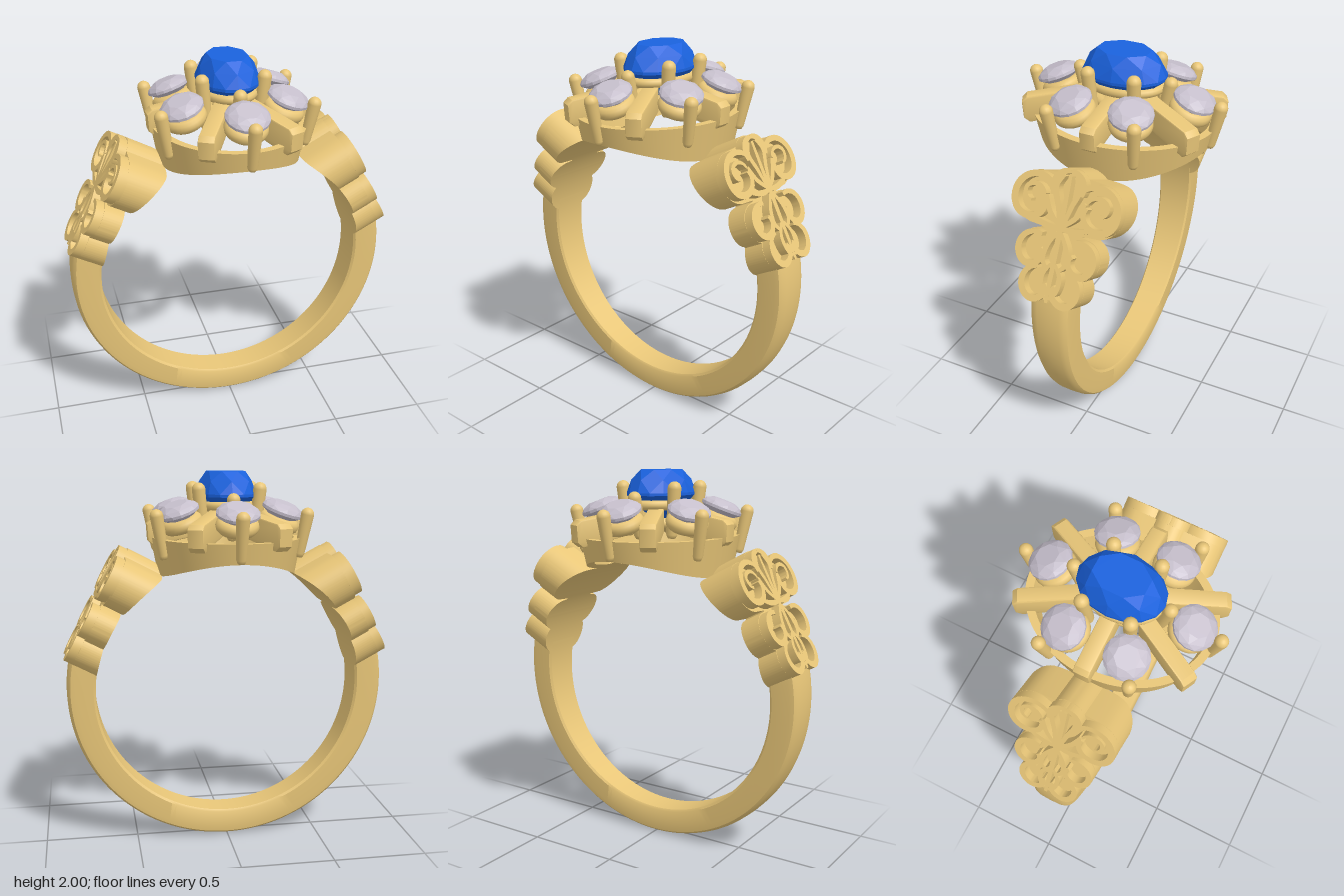
import * as THREE from 'three';
import { toCreasedNormals } from 'three/addons/utils/BufferGeometryUtils.js';
import { ConvexGeometry } from 'three/addons/geometries/ConvexGeometry.js';

const CY = 0.855, INNER = 0.708; // finger hole centre height and radius
const gold = new THREE.MeshStandardMaterial({ color: 0xe8c678 });
const blue = new THREE.MeshStandardMaterial({ color: 0x1a62de, flatShading: true });
const pale = new THREE.MeshStandardMaterial({ color: 0xc6bfcc, flatShading: true });
const V = (x, y, z) => new THREE.Vector3(x, y, z);

function add(parent, name, geometry, material = gold) {
  const m = new THREE.Mesh(geometry, material);
  m.name = name;
  parent.add(m);
  return m;
}

// Skin a list of equal-length point loops; ends are capped unless closed
function loft(rows, closed = false) {
  const n = rows[0].length, pos = [], idx = [];
  rows.forEach(r => r.forEach(p => pos.push(p.x, p.y, p.z)));
  const last = rows.length - 1;
  for (let i = 0; i < (closed ? rows.length : last); i++) {
    const k = (i + 1) % rows.length;
    for (let j = 0; j < n; j++) {
      const a = i * n + j, b = i * n + (j + 1) % n;
      const c = k * n + (j + 1) % n, d = k * n + j;
      idx.push(a, b, c, a, c, d);
    }
  }
  if (!closed) for (let j = 1; j < n - 1; j++) {
    idx.push(0, j + 1, j, last * n, last * n + j, last * n + j + 1);
  }
  const g = new THREE.BufferGeometry();
  g.setAttribute('position', new THREE.Float32BufferAttribute(pos, 3));
  g.setIndex(idx);
  return toCreasedNormals(g, 0.6);
}

// Tapering rod with a rounded tip
function prong(parent, name, from, to, r0, r1) {
  const len = from.distanceTo(to);
  const profile = [[0, 0], [r0 * 0.7, 0], [r0, 0.02]].map(p => new THREE.Vector2(...p));
  for (let i = 0; i <= 6; i++) {
    const a = i / 6 * Math.PI / 2;
    profile.push(new THREE.Vector2(r1 * Math.cos(a), len - r1 + r1 * Math.sin(a)));
  }
  const m = add(parent, name, new THREE.LatheGeometry(profile, 16));
  m.position.copy(from);
  m.quaternion.setFromUnitVectors(V(0, 1, 0), to.clone().sub(from).normalize());
}

// Faceted stone; girdle plane at y = 0
function gemGeometry(rx, rz, table, crown, depth) {
  const pts = [];
  const ring = (n, k, y, shift) => {
    for (let i = 0; i < n; i++) {
      const a = (i + shift) / n * Math.PI * 2;
      pts.push(V(rx * k * Math.cos(a), y, rz * k * Math.sin(a)));
    }
  };
  ring(8, table, crown, 0.5);
  ring(8, 0.87, crown * 0.58, 0);
  ring(16, 1, 0.006, 0);
  ring(16, 1, -0.008, 0);
  ring(8, 0.6, -depth * 0.5, 0.5);
  pts.push(V(0, -depth, 0));
  return new ConvexGeometry(pts);
}

function shankGeometry() {
  const rows = [];
  for (let i = 0; i <= 96; i++) {
    const a = THREE.MathUtils.degToRad(167 + 206 * i / 96);
    const t = (1 + Math.sin(a)) / 1.2;
    const w = 0.08 + 0.026 * Math.min(1, t), h = 0.147 + 0.006 * t;
    const section = [[-w * 0.9, 0], [w * 0.9, 0], [w, 0.012], [w, h * 0.7]];
    for (let k = 1; k <= 7; k++) {
      const b = k / 8 * Math.PI;
      section.push([w * Math.sign(Math.cos(b)) * Math.abs(Math.cos(b)) ** 0.6, h * (0.7 + 0.3 * Math.sin(b) ** 0.6)]);
    }
    section.push([-w, h * 0.7], [-w, 0.012]);
    rows.push(section.map(([z, r]) => V((INNER + r) * Math.cos(a), CY + (INNER + r) * Math.sin(a), z)));
  }
  return loft(rows);
}

// Scalloped shoulder: local y runs up the plate, z points outward, back follows the finger hole
const FACE = 0.855, FLOOR = 0.81;
const LOBES = [[0, 0.325, 0.095], [0.155, 0.245, 0.13], [0.115, 0.005, 0.1], [0.065, -0.15, 0.1]];
function shoulderGeometry() {
  const rows = [];
  for (let i = 0; i <= 120; i++) {
    const s = -0.2495 + 0.669 * i / 120;
    let w = s > -0.15 && s < 0.3 ? 0.1 : 0.01;
    for (const [x, y, r] of LOBES) {
      const d = r * r - (s - y) ** 2;
      if (d > 0) w = Math.max(w, x + Math.sqrt(d));
    }
    const back = Math.sqrt(INNER ** 2 - s * s);
    rows.push([V(-w, s, FLOOR), V(w, s, FLOOR), V(w, s, back), V(-w, s, back)]);
  }
  return loft(rows);
}

// Flat raised strip along a 2D curve, slimmer at its ends
function ribbonGeometry(points, width) {
  const curve = new THREE.SplineCurve(points.map(p => new THREE.Vector2(...p)));
  const left = [], right = [], N = 32;
  for (let i = 0; i <= N; i++) {
    const p = curve.getPoint(i / N), t = curve.getTangent(i / N);
    const h = width / 2 * (0.6 + 0.4 * Math.sin(Math.PI * i / N));
    left.push(new THREE.Vector2(p.x - t.y * h, p.y + t.x * h));
    right.unshift(new THREE.Vector2(p.x + t.y * h, p.y - t.x * h));
  }
  const g = new THREE.ExtrudeGeometry(new THREE.Shape([...left, ...right]),
    { depth: FACE - FLOOR + 0.01, bevelEnabled: false });
  return toCreasedNormals(g.translate(0, 0, FLOOR - 0.01), 0.6);
}

function spiral(cx, cy, r0, r1, from, to) {
  return Array.from({ length: 15 }, (_, i) => {
    const t = i / 14, a = THREE.MathUtils.degToRad(from + (to - from) * t);
    const r = r0 + (r1 - r0) * Math.max(0, t - 0.55) / 0.45;
    return [cx + r * Math.cos(a), cy + r * Math.sin(a)];
  });
}

function buildShoulder() {
  const g = new THREE.Group();
  add(g, 'shoulderBody', shoulderGeometry());
  const strips = [
    [spiral(0.155, 0.245, 0.113, 0.045, 150, -190), 0.036],
    [spiral(0.165, 0.25, 0.06, 0.025, 160, -60), 0.022],
    [spiral(0.115, 0.005, 0.083, 0.03, 110, -200), 0.034],
    [spiral(0.065, -0.15, 0.083, 0.035, 80, -190), 0.034],
    [spiral(0, 0.325, 0.078, 0.078, 90, -20), 0.034],
    [[[0.01, 0.14], [0.035, 0.24], [0.06, 0.32], [0.03, 0.38]], 0.026],
    [[[0.01, 0.14], [0.07, 0.2], [0.1, 0.27]], 0.026],
    [[[0.01, 0.13], [0.07, 0.13], [0.14, 0.15]], 0.03],
    [[[0.01, 0.11], [0.05, 0.04], [0.06, -0.03], [0.03, -0.07]], 0.026],
    [[[0.01, -0.04], [0.045, -0.1], [0.04, -0.17], [0.01, -0.21]], 0.024],
  ];
  for (const [pts, width] of strips) for (const side of [1, -1]) {
    add(g, 'scroll', ribbonGeometry(pts.map(([x, y]) => [x * side, y]), width));
  }
  add(g, 'centreVein', ribbonGeometry([[0, -0.23], [0, 0], [0, 0.15], [0, 0.38]], 0.028));
  const d = V(-0.47, 0.8827, 0), n = V(0.8827, 0.47, 0);
  g.applyMatrix4(new THREE.Matrix4().makeBasis(V(0, 0, -1), d, n));
  g.position.y = CY;
  return g;
}

// Oval gallery band, its lower edge cut by the finger hole
function bandGeometry() {
  const rows = [];
  for (let i = 0; i < 96; i++) {
    const a = i / 96 * Math.PI * 2, c = Math.cos(a), s = Math.sin(a);
    const at = (rx, rz, y) => V(rx * c, y ?? CY + Math.sqrt(INNER ** 2 - (rx * c) ** 2), rz * s);
    rows.push([at(0.32, 0.415), at(0.36, 0.455), at(0.395, 0.48, 1.665), at(0.355, 0.44, 1.665)]);
  }
  return loft(rows, true);
}

export function createModel() {
  const ring = new THREE.Group();
  ring.name = 'ring';
  add(ring, 'shank', shankGeometry());
  for (const side of [0, 1]) {
    const holder = new THREE.Group();
    holder.name = side ? 'rightShoulder' : 'leftShoulder';
    holder.add(buildShoulder());
    holder.rotation.y = side * Math.PI;
    ring.add(holder);
  }

  const head = new THREE.Group();
  head.name = 'head';
  ring.add(head);
  add(head, 'galleryBand', bandGeometry());

  // Centre stone and its oval seats
  add(head, 'centreStone', gemGeometry(0.16, 0.22, 0.64, 0.12, 0.17), blue).position.y = 1.88;
  for (const [y, r] of [[1.825, 0.125], [1.73, 0.1]]) {
    const seat = add(head, 'centreSeat', new THREE.TorusGeometry(r, 0.027, 12, 48).rotateX(Math.PI / 2));
    seat.scale.set(1, 1, 1.4);
    seat.position.y = y;
  }

  // Six small stones, each with a seat ring, an outer prong and an inner prong
  const spots = [[0, 0.375], [0, -0.375]];
  for (const x of [1, -1]) for (const z of [1, -1]) spots.push([x * 0.27, z * 0.162]);
  for (const [x, z] of spots) {
    const len = Math.hypot(x, z), ux = x / len, uz = z / len, onAxis = x === 0;
    const unit = new THREE.Group();
    unit.name = 'smallStoneSetting';
    unit.position.set(x, 1.805, z);
    unit.quaternion.setFromUnitVectors(V(0, 1, 0), V(ux * 0.38, 1, uz * 0.38).normalize());
    add(unit, 'smallStone', gemGeometry(0.11, 0.11, 0.55, 0.04, 0.075), pale);
    add(unit, 'smallSeat', new THREE.TorusGeometry(0.073, 0.036, 12, 32).rotateX(Math.PI / 2)).position.y = -0.065;
    head.add(unit);
    const out = onAxis ? [0.46, 0.515] : [0.405, 0.455];
    prong(head, 'outerProng', V(ux * out[0], 1.57, uz * out[0]), V(ux * out[1], 1.82, uz * out[1]), 0.026, 0.034);
    if (onAxis) prong(head, 'innerProng', V(0, 1.66, uz * 0.2), V(0, 1.895, uz * 0.255), 0.03, 0.034);
    else prong(head, 'innerProng', V(ux * 0.155, 1.66, Math.sign(z) * 0.11),
      V(Math.sign(x) * 0.162, 1.945, Math.sign(z) * 0.125), 0.03, 0.035);
  }

  // Sloping bars between the small stones
  const bars = [[0.1, 0, 0.41, 0], [-0.1, 0, -0.41, 0]];
  for (const x of [1, -1]) for (const z of [1, -1]) bars.push([x * 0.07, z * 0.16, x * 0.22, z * 0.455]);
  for (const [x0, z0, x1, z1] of bars) {
    const shape = new THREE.Shape();
    const L = Math.hypot(x1 - x0, z1 - z0);
    shape.moveTo(0, 1.69);
    shape.lineTo(L - 0.03, 1.63);
    shape.lineTo(L - 0.005, 1.65);
    shape.lineTo(L, 1.73);
    shape.lineTo(L - 0.02, 1.75);
    shape.lineTo(0, 1.8);
    const geo = new THREE.ExtrudeGeometry(shape,
      { depth: 0.066, bevelThickness: 0.008, bevelSize: 0.008, bevelSegments: 2 }).translate(0, 0, -0.033);
    const bar = add(head, 'galleryBar', toCreasedNormals(geo, 0.6));
    bar.position.set(x0, 0, z0);
    bar.rotation.y = -Math.atan2(z1 - z0, x1 - x0);
  }
  return ring;
}
